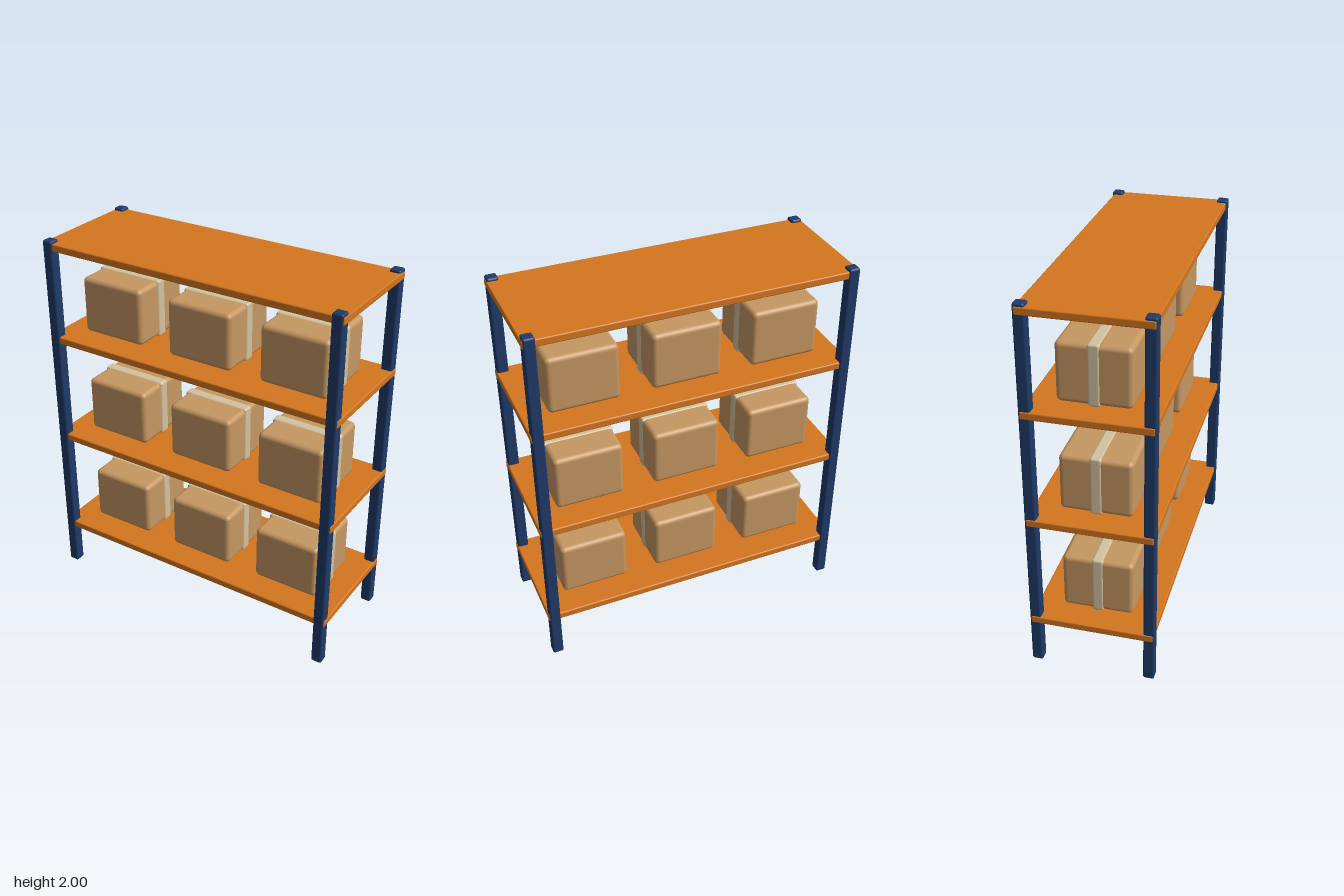
import * as THREE from 'three';
import { RoundedBoxGeometry } from 'three/addons/geometries/RoundedBoxGeometry.js';

function material(name, color) {
  const m = new THREE.MeshStandardMaterial({ color });
  m.name = name;
  return m;
}

export function createModel() {
  const model = new THREE.Group();
  model.name = 'storageRack';

  const blue = material('navy steel', 0x1f3a68);
  const orange = material('orange shelf', 0xd4761f);
  const cardboard = material('cardboard', 0xc69762);
  const tapeColor = material('packing tape', 0xd2c3a0);

  const add = (parent, name, geometry, mat, x, y, z) => {
    const mesh = new THREE.Mesh(geometry, mat);
    mesh.name = name;
    mesh.position.set(x, y, z);
    parent.add(mesh);
  };

  // Four corner posts
  const postGeo = new RoundedBoxGeometry(0.058, 2, 0.058, 2, 0.01);
  for (const x of [-0.816, 0.816])
    for (const z of [-0.296, 0.296]) add(model, 'post', postGeo, blue, x, 1, z);

  // Shelf boards
  const shelfGeo = new RoundedBoxGeometry(1.698, 0.04, 0.636, 2, 0.007);
  const shelfY = [0.264, 0.857, 1.45, 1.966];
  for (const y of shelfY) add(model, 'shelf', shelfGeo, orange, 0, y, 0);

  // Taped cartons, three on each of the lower shelves
  const cartonGeo = new RoundedBoxGeometry(0.368, 0.306, 0.37, 3, 0.025);
  const tapeGeo = new RoundedBoxGeometry(0.376, 0.314, 0.06, 2, 0.012);
  for (const y of shelfY.slice(0, 3)) {
    for (const x of [-0.535, 0, 0.535]) {
      const carton = new THREE.Group();
      carton.name = 'carton';
      carton.position.set(x, y + 0.177, 0);
      add(carton, 'cartonBody', cartonGeo, cardboard, 0, 0, 0);
      add(carton, 'cartonTape', tapeGeo, tapeColor, 0, 0, 0);
      model.add(carton);
    }
  }
  return model;
}
